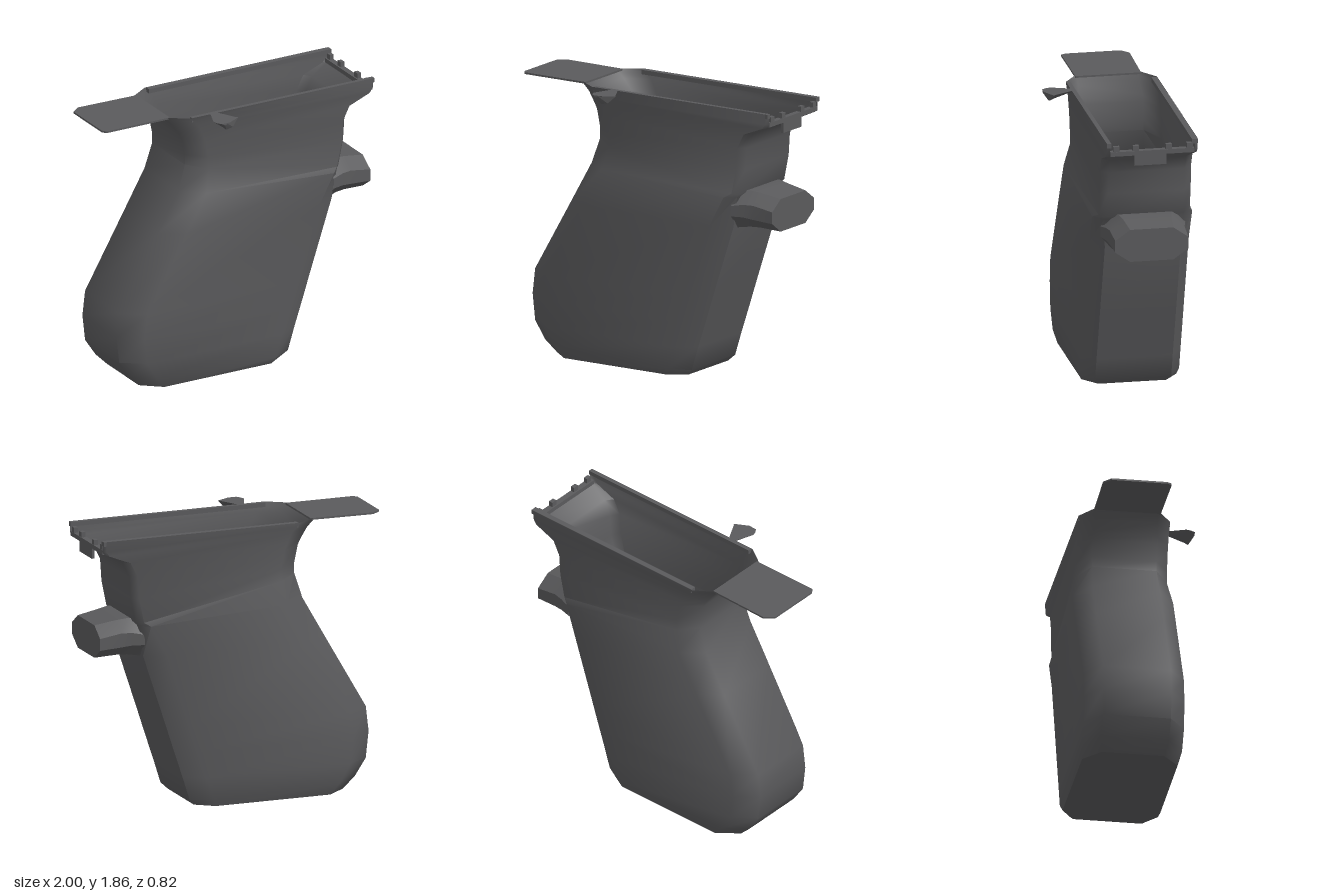
import * as THREE from 'three';
import { toCreasedNormals } from 'three/addons/utils/BufferGeometryUtils.js';

// Skin a list of equal-length closed rings; skip(band, edge) leaves a gap.
function loft(rings, { skip = () => false, cap = false, crease = 1.0 } = {}) {
  const n = rings[0].length, pos = [];
  const tri = (...p) => p.forEach(v => pos.push(...v));
  for (let r = 0; r < rings.length - 1; r++) {
    for (let i = 0; i < n; i++) {
      if (skip(r, i)) continue;
      const j = (i + 1) % n, a = rings[r], b = rings[r + 1];
      tri(a[i], b[i], a[j]);
      tri(a[j], b[i], b[j]);
    }
  }
  if (cap) {
    const e = rings[rings.length - 1];
    for (let i = 1; i < n - 1; i++) tri(e[0], e[i + 1], e[i]);
  }
  const g = new THREE.BufferGeometry();
  g.setAttribute('position', new THREE.Float32BufferAttribute(pos, 3));
  return toCreasedNormals(g, crease);
}

// Eight-sided ring, tilted from its back point (xb, yb) to its front point (xf, yf).
function gripRing([xb, yb, xf, yf, z0, z1, bdx, bdz, fdx, fdz]) {
  return [
    [xf, z1 - fdz], [xf - fdx, z1], [xb + bdx, z1], [xb, z1 - bdz],
    [xb, z0 + bdz], [xb + bdx, z0], [xf - fdx, z0], [xf, z0 + fdz],
  ].map(([x, z]) => [x, yb + (yf - yb) * (x - xb) / (xf - xb), z]);
}

// Eight-sided upright ring at a given x.
function sideRing([x, y0, y1, z0, z1, dy, dz]) {
  return [
    [y1, z1 - dz], [y1 - dy, z1], [y0 + dy, z1], [y0, z1 - dz],
    [y0, z0 + dz], [y0 + dy, z0], [y1 - dy, z0], [y1, z0 + dz],
  ].map(([y, z]) => [x, y, z]);
}

export function createModel() {
  const model = new THREE.Group();
  const gray = new THREE.MeshStandardMaterial({ color: 0x5a5a5c, side: THREE.DoubleSide });
  gray.name = 'dark gray';
  const add = (name, geometry) => {
    const m = new THREE.Mesh(geometry, gray);
    m.name = name;
    model.add(m);
    return m;
  };
  const box = (name, x0, x1, y0, y1, z0, z1) =>
    add(name, new THREE.BoxGeometry(x1 - x0, y1 - y0, z1 - z0))
      .position.set((x0 + x1) / 2, (y0 + y1) / 2, (z0 + z1) / 2);

  // Hollow handle shell, open at the top
  const lower = [-0.41, 0.26, 0.15, 0.11, 0.14, 0.08];
  const upper = [-0.385, 0.225, 0.13, 0.09, 0.04, 0.05];
  const top = [-0.385, 0.225, 0.15, 0.10, 0.02, 0.02];
  const rings = [
    [-0.73, 0, 0.33, 0, -0.395, 0.24, 0.13, 0.11, 0.12, 0.09],
    [-0.81, 0.08, 0.37, 0.04, ...lower],
    [-0.89, 0.20, 0.42, 0.20, ...lower],
    [-0.91, 0.38, 0.48, 0.38, ...lower],
    [-0.89, 0.55, 0.535, 0.55, ...lower],
    [-0.595, 1.06, 0.70, 1.05, ...lower],
    [-0.44, 1.33, 0.735, 1.26, -0.41, 0.26, 0.15, 0.11, 0.06, 0.07],
    [-0.385, 1.50, 0.755, 1.28, ...upper],
    [-0.385, 1.57, 0.79, 1.45, ...upper],
    [-0.41, 1.69, 0.80, 1.60, ...upper],
    [-0.43, 1.73, 0.85, 1.70, ...upper],
    [-0.48, 1.80, 0.98, 1.76, ...top],
    [-0.52, 1.84, 1.00, 1.79, ...top],
    [-0.54, 1.86, 1.00, 1.86, ...top],
  ].map(gripRing);
  const last = rings.length - 2;
  add('handleShell', loft(rings, { skip: (r, i) => r === last && i === 7 }));
  add('handleBase', loft([rings[0], rings[0]], { skip: () => true, cap: true }));

  // Rails along the two top edges
  box('leftRail', -0.38, 1, 1.83, 1.86, 0.195, 0.224);
  box('rightRail', -0.38, 1, 1.83, 1.86, -0.384, -0.345);

  // Front lip with its lug and small teeth
  box('frontLip', 0.96, 1, 1.77, 1.80, -0.36, 0.2);
  box('frontLug', 0.98, 1, 1.70, 1.77, -0.175, 0.04);
  for (const z of [-0.33, -0.19, 0.03, 0.16]) {
    box('frontTooth', 0.97, 0.998, 1.79, 1.835, z - 0.02, z + 0.02);
  }

  // Ledges inside the hollow
  box('leftInnerLedge', -0.2, 0.47, 1.16, 1.2, 0.12, 0.25);
  box('rightInnerLedge', -0.23, 0.47, 1.16, 1.2, -0.4, -0.24);

  // Guard stub at the front
  add('guardStub', loft([
    [0.70, 1.04, 1.29, -0.36, 0.21, 0.09, 0.08],
    [0.78, 1.05, 1.295, -0.34, 0.19, 0.08, 0.09],
    [0.85, 1.05, 1.285, -0.325, 0.175, 0.07, 0.09],
    [1.00, 1.04, 1.26, -0.32, 0.17, 0.07, 0.10],
  ].map(sideRing), { cap: true, crease: 0.5 }));

  // Thin tang reaching back over the hand
  const outline = new THREE.Shape([
    [-1, -0.26], [-0.94, -0.31], [-0.5, -0.3], [-0.5, 0.14], [-0.98, 0.14], [-1, 0.11],
  ].map(p => new THREE.Vector2(...p)));
  const tang = new THREE.ExtrudeGeometry(outline, { depth: 0.012, bevelEnabled: false });
  tang.rotateX(Math.PI / 2);
  add('tang', tang).position.y = 1.86;

  // Small thumb lever on the left side, widening outward
  add('thumbLever', loft([
    [0.22, -0.24, -0.19, 1.84, 0],
    [0.35, -0.29, -0.12, 1.81, 0],
    [0.38, -0.28, -0.11, 1.80, 0.01],
    [0.41, -0.26, -0.20, 1.845, 0],
  ].map(([z, x0, x1, y, d]) => {
    const w = x1 - x0;
    return [
      [x0, 1.86, z], [x0 + w * 0.4, y, z], [x0 + w * 0.7, y + 0.01, z], [x1, 1.86, z - d * 2],
    ];
  }), { cap: true, crease: 0.3 }));

  return model;
}
